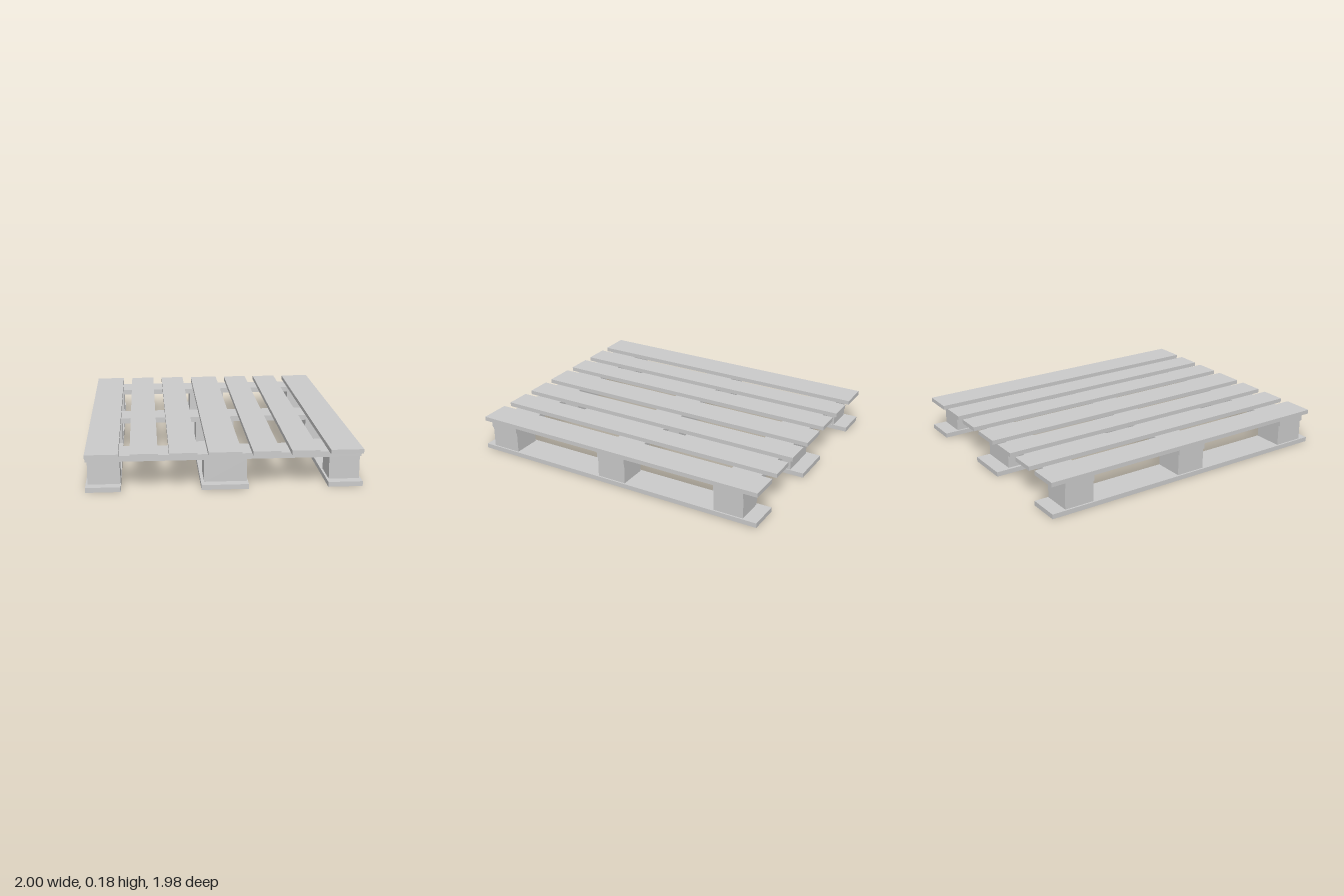
import * as THREE from 'three';

const LENGTH = 1.546, WIDTH = 1.268;
// height levels: skid top, block top, stringer top, deck top
const Y = [0, 0.023, 0.129, 0.156, 0.177];

export function createModel() {
  const material = new THREE.MeshStandardMaterial({ color: 0xcccccc, flatShading: true });
  const pallet = new THREE.Group();
  pallet.name = 'pallet';

  // a plank or block resting on one height level
  const addBox = (name, level, x, z, sx, sz) => {
    const h = Y[level + 1] - Y[level];
    const mesh = new THREE.Mesh(new THREE.BoxGeometry(sx, h, sz), material);
    mesh.name = name;
    mesh.position.set(x, Y[level] + h / 2, z);
    pallet.add(mesh);
  };

  const stringerX = [-0.652, -0.005, 0.627];

  // skids: two narrow outer ones and a wide middle one
  const skids = [[-0.554, 0.16], [0, 0.217], [0.554, 0.16]];
  for (const [z, w] of skids) addBox('bottomBoard', 0, 0, z, LENGTH, w);

  // nine spacer blocks, the middle row wider
  for (const [z, w] of [[-0.551, 0.148], [0.005, 0.197], [0.555, 0.142]])
    for (const x of stringerX) addBox('block', 1, x, z, 0.15, w);

  // stringers across the blocks
  for (const x of stringerX) addBox('stringer', 2, x, 0, 0.152, WIDTH);

  // deck boards: wide at the edges and centre, narrow between
  const widths = [0.152, 0.127, 0.127, 0.152, 0.127, 0.127, 0.152];
  const gap = (WIDTH - widths.reduce((a, b) => a + b)) / (widths.length - 1);
  let z = -WIDTH / 2;
  for (const w of widths) {
    addBox('deckBoard', 3, 0, z + w / 2, LENGTH, w);
    z += w + gap;
  }

  // the pallet lies turned on the ground
  pallet.rotation.y = 0.73;
  const model = new THREE.Group();
  model.add(pallet);
  return model;
}
